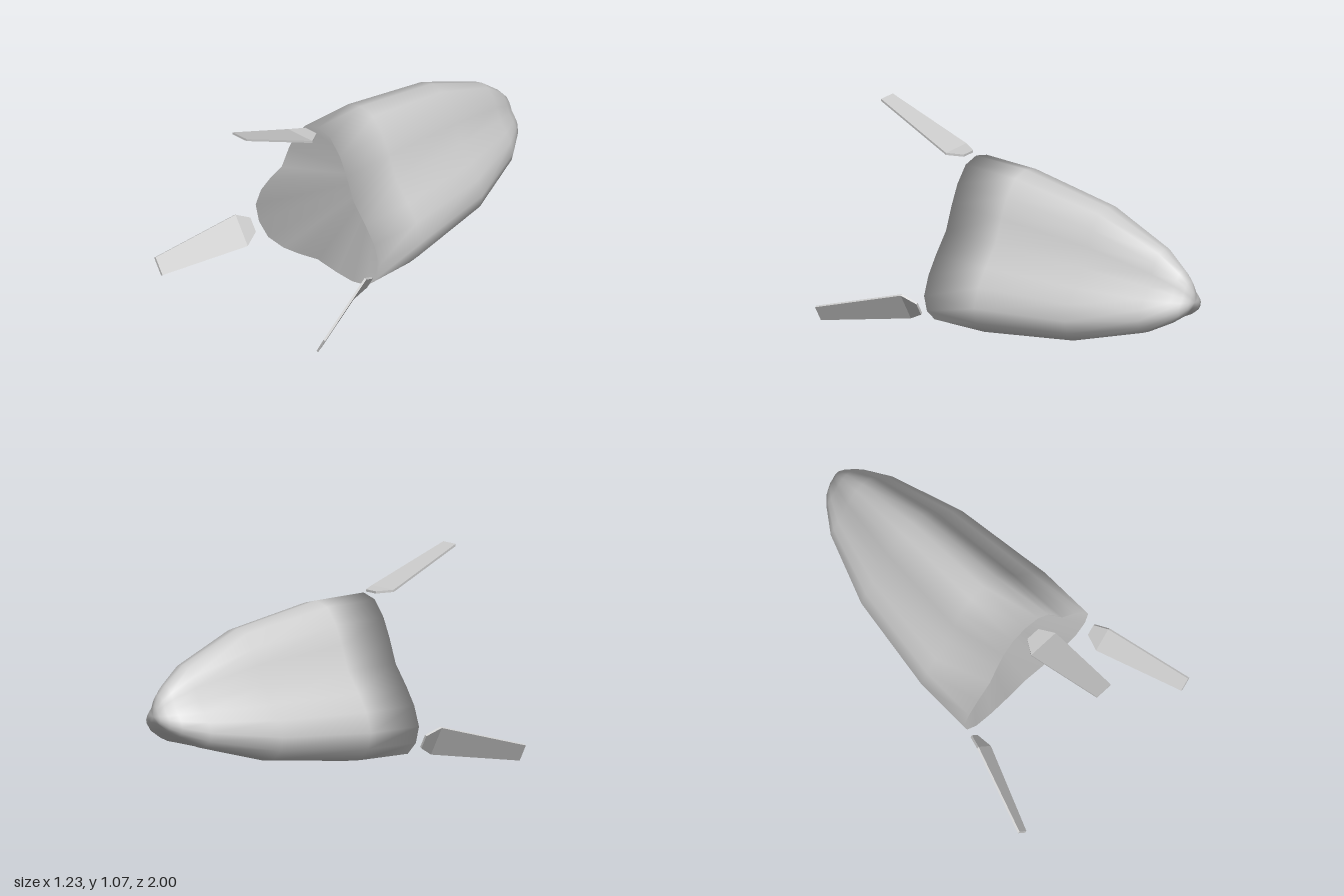
import * as THREE from 'three';
import { mergeVertices } from 'three/addons/utils/BufferGeometryUtils.js';

const AXIS_Y = 0.39; // height of the long axis
const RIM_Z = 0.42;

// Three-lobed outline: [degrees from the lobe's crest, radius]
const HALF_LOBE = [[0, 0.489], [11, 0.474], [23, 0.413], [37, 0.349], [60, 0.3]];

function lobedOutline() {
  const points = [];
  for (let lobe = 0; lobe < 3; lobe++) {
    const before = HALF_LOBE.slice(1, 4).reverse().map(([a, r]) => [-a, r]);
    for (const [a, r] of [...before, ...HALF_LOBE]) {
      const angle = THREE.MathUtils.degToRad(a + lobe * 120);
      points.push([Math.sin(angle) * r, Math.cos(angle) * r]);
    }
  }
  return points;
}

// Hull: the outline scaled along z, from the hollow of the front end to the nose
function hullGeometry() {
  const rows = [ // [z, scale]
    [RIM_Z - 0.46, 0], [RIM_Z, 1], [0.1, 0.99], [-0.43, 0.815], [-0.8, 0.51],
    [-0.92, 0.32], [-0.965, 0.22], [-0.99, 0.11], [-1, 0],
  ];
  const outline = lobedOutline();
  const n = outline.length;
  const positions = [];
  const index = [];
  rows.forEach(([z, s], i) => {
    for (const [x, y] of outline) positions.push(x * s, y * s, z);
    if (i === 0) return;
    for (let j = 0; j < n; j++) {
      const k = (j + 1) % n;
      const a = (i - 1) * n + j, b = (i - 1) * n + k;
      const c = i * n + j, d = i * n + k;
      if (rows[i - 1][1] > 0) index.push(a, b, c);
      if (s > 0) index.push(b, d, c);
    }
  });
  const geometry = new THREE.BufferGeometry();
  geometry.setAttribute('position', new THREE.Float32BufferAttribute(positions, 3));
  geometry.setIndex(index);
  const merged = mergeVertices(geometry);
  merged.computeVertexNormals();
  return merged;
}

// Fin: a thin plate bent outwards, with a narrow root and a tapering blade
function finGeometry() {
  const stations = [ // z, distance from axis, half width
    [0.47, 0.488, 0.04], [0.55, 0.494, 0.088], [1, 0.678, 0.05],
  ];
  const thickness = 0.012;
  const geometry = new THREE.BoxGeometry(1, 1, 1, 1, 1, 2);
  const p = geometry.attributes.position;
  for (let i = 0; i < p.count; i++) {
    const [z, y, w] = stations[Math.round((p.getZ(i) + 0.5) * 2)];
    p.setXYZ(i, p.getX(i) * 2 * w, y + p.getY(i) * thickness, z);
  }
  geometry.computeVertexNormals();
  return geometry;
}

export function createModel() {
  const model = new THREE.Group();
  model.name = 'threeLobedPod';

  const hull = new THREE.Mesh(hullGeometry(), new THREE.MeshStandardMaterial({ color: 0xcccccc }));
  hull.name = 'hull';
  hull.position.y = AXIS_Y;
  model.add(hull);

  // One fin floating in front of each lobe
  const finMaterial = new THREE.MeshStandardMaterial({ color: 0xcccccc, flatShading: true });
  const finShape = finGeometry();
  ['topFin', 'rightFin', 'leftFin'].forEach((name, i) => {
    const fin = new THREE.Mesh(finShape, finMaterial);
    fin.name = name;
    fin.position.y = AXIS_Y;
    fin.rotation.z = (i * Math.PI * 2) / 3;
    model.add(fin);
  });
  return model;
}
